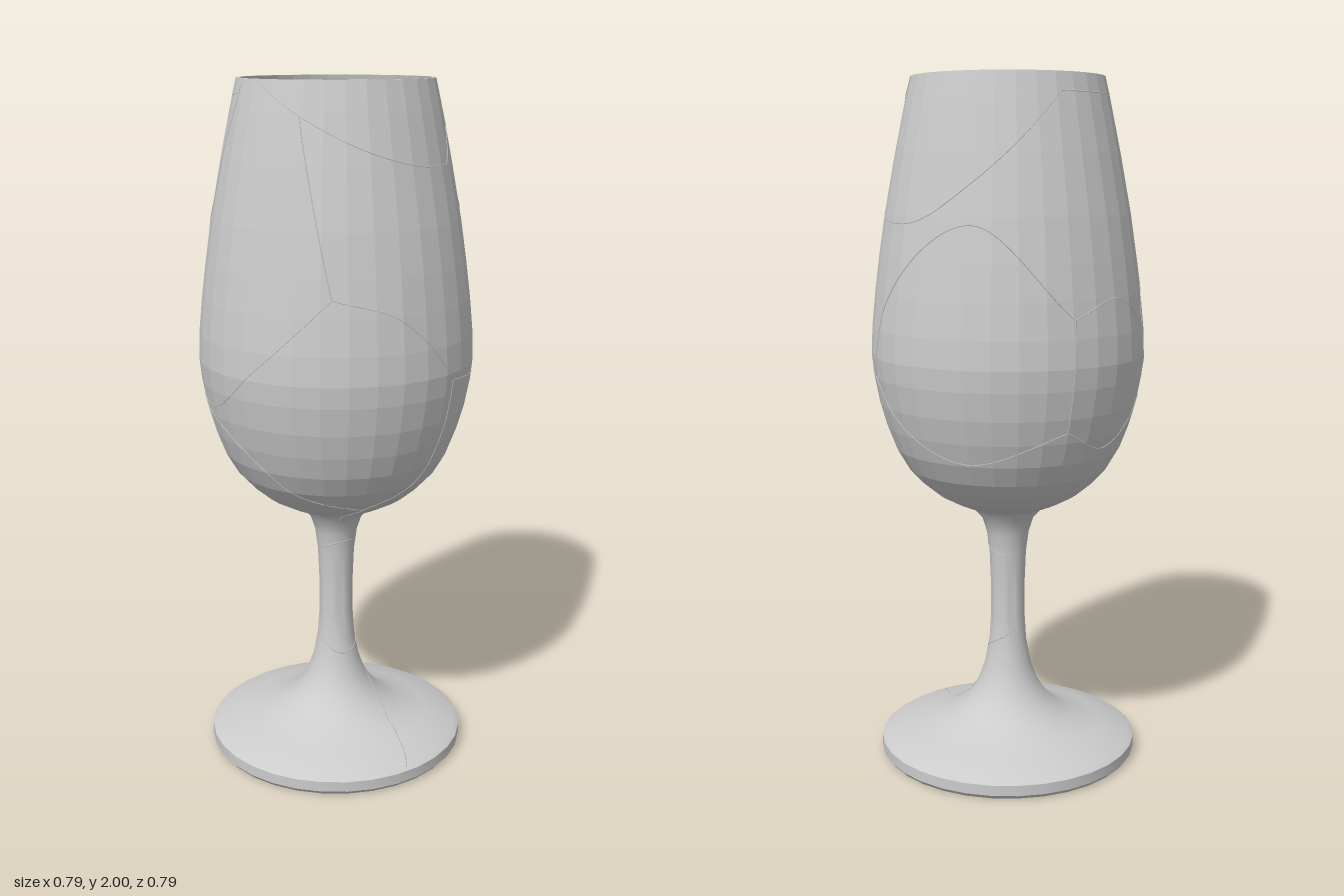
import * as THREE from 'three';
import { toCreasedNormals } from 'three/addons/utils/BufferGeometryUtils.js';

const SIDES = 32;

// Outer profile as [radius, height], split where the stem meets the bowl
const footOuter = [
  [0.375, 0], [0.385, 0.012], [0.385, 0.043], [0.37, 0.053], [0.28, 0.077], [0.2, 0.103],
  [0.15, 0.135], [0.115, 0.17], [0.09, 0.21], [0.07, 0.265], [0.056, 0.34], [0.051, 0.42],
  [0.051, 0.52], [0.055, 0.62], [0.063, 0.68], [0.077, 0.725], [0.105, 0.755],
];
const bowlOuter = [
  [0.105, 0.755], [0.16, 0.778], [0.21, 0.805], [0.255, 0.842], [0.295, 0.885], [0.33, 0.945],
  [0.355, 1.01], [0.375, 1.08], [0.39, 1.16], [0.396, 1.22], [0.393, 1.3], [0.383, 1.4],
  [0.37, 1.5], [0.352, 1.62], [0.32, 1.79], [0.293, 1.92], [0.275, 2],
];
const hollow = [[0, 0.12], [0.06, 0.11], [0.12, 0.085], [0.22, 0.045], [0.35, 0.006], [0.36, 0]];

// Inner wall of the bowl, from the rim down to the floor
const bowlInner = [
  [0.265, 2], [0.282, 1.92], [0.308, 1.79], [0.34, 1.62], [0.358, 1.5], [0.371, 1.4],
  [0.381, 1.3], [0.384, 1.22], [0.378, 1.16], [0.363, 1.08], [0.343, 1.015], [0.317, 0.955],
  [0.282, 0.9], [0.243, 0.86], [0.198, 0.826], [0.115, 0.792], [0, 0.782],
];

// Seams between the pieces as [degrees from the front, height]
const seams = [
  [[-65, 2], [-35, 1.91], [0, 1.82], [27, 1.78], [52, 1.775]],
  [[-35, 1.91], [-25, 1.65], [-18, 1.45]],
  [[-18, 1.45], [8, 1.4], [23, 1.32], [39, 1.2]],
  [[-18, 1.45], [-50, 1.25], [-75, 1.12], [-107, 1.12]],
  [[-107, 1.12], [-75, 1.05], [-55, 0.96], [-40, 0.88], [4, 0.81]],
  [[39, 1.2], [38, 1.05], [32, 0.9], [4, 0.81]],
  [[39, 1.2], [90, 1.165]],
  [[52, 1.775], [86, 2]],
  [[52, 1.775], [70, 1.65], [90, 1.61], [121, 1.61], [150, 1.72], [194, 1.95]],
  [[90, 1.165], [105, 1.4], [149, 1.6], [192, 1.35]],
  [[90, 1.165], [112, 1.03], [145, 0.95], [191, 1.04]],
  [[191, 1.04], [215, 0.98], [253, 1.12]],
  [[192, 1.35], [191, 1.04]],
  [[192, 1.35], [215, 1.4], [241, 1.31]],
  [[241, 1.31], [253, 1.12]],
  [[241, 1.31], [278, 1.98]],
  [[194, 1.95], [235, 1.95], [275, 1.96]],
  [[4, 0.81], [-8, 0.75], [20, 0.66]],
  [[-70, 0.635], [20, 0.66], [90, 0.635], [180, 0.61]],
  [[-90, 0.36], [0, 0.295], [90, 0.33], [180, 0.38]],
  [[75, 0.21], [35, 0.1], [17, 0.05]],
];

const outer = [...footOuter, ...bowlOuter.slice(1)];

// Point on the faceted outer wall at a given angle and height
function onWall(degrees, y) {
  let i = 1;
  while (i < outer.length - 1 && outer[i][1] < y) i++;
  const [r0, y0] = outer[i - 1], [r1, y1] = outer[i];
  const r = THREE.MathUtils.mapLinear(y, y0, y1, r0, r1);
  const a = THREE.MathUtils.degToRad(degrees), step = 2 * Math.PI / SIDES;
  const fromMiddle = a - (Math.floor(a / step) + 0.5) * step;
  const flat = r * Math.cos(step / 2) / Math.cos(fromMiddle);
  return new THREE.Vector3(Math.sin(a) * flat, y, Math.cos(a) * flat);
}

function lathe(profile) {
  return new THREE.LatheGeometry(profile.map(([r, y]) => new THREE.Vector2(r, y)), SIDES);
}

function seamTube(points) {
  const guide = new THREE.CatmullRomCurve3(points.map(([a, y]) => new THREE.Vector3(a / 100, y, 0)));
  const path = guide.getPoints(40).map((p) => onWall(p.x * 100, Math.min(p.y, 1.998)));
  return new THREE.TubeGeometry(new THREE.CatmullRomCurve3(path), 80, 0.0018, 4);
}

export function createModel() {
  const group = new THREE.Group();
  const smooth = new THREE.MeshStandardMaterial({ color: 0xcccccc });
  const faceted = new THREE.MeshStandardMaterial({ color: 0xcccccc, flatShading: true });
  const add = (name, geometry, material, parent = group) => {
    const mesh = new THREE.Mesh(geometry, material);
    mesh.name = name;
    parent.add(mesh);
  };

  // Foot with hollow underside, flowing into the stem
  add('footAndStem', toCreasedNormals(lathe([...hollow, ...footOuter]), 0.6), smooth);

  // Thin-walled bowl, outside and inside in one profile
  add('bowl', lathe([...bowlOuter, ...bowlInner]), faceted);

  // Hairline seams over the wall
  const cracks = new THREE.Group();
  cracks.name = 'seams';
  seams.forEach((s, i) => add(`seam${i + 1}`, seamTube(s), smooth, cracks));
  group.add(cracks);

  return group;
}
